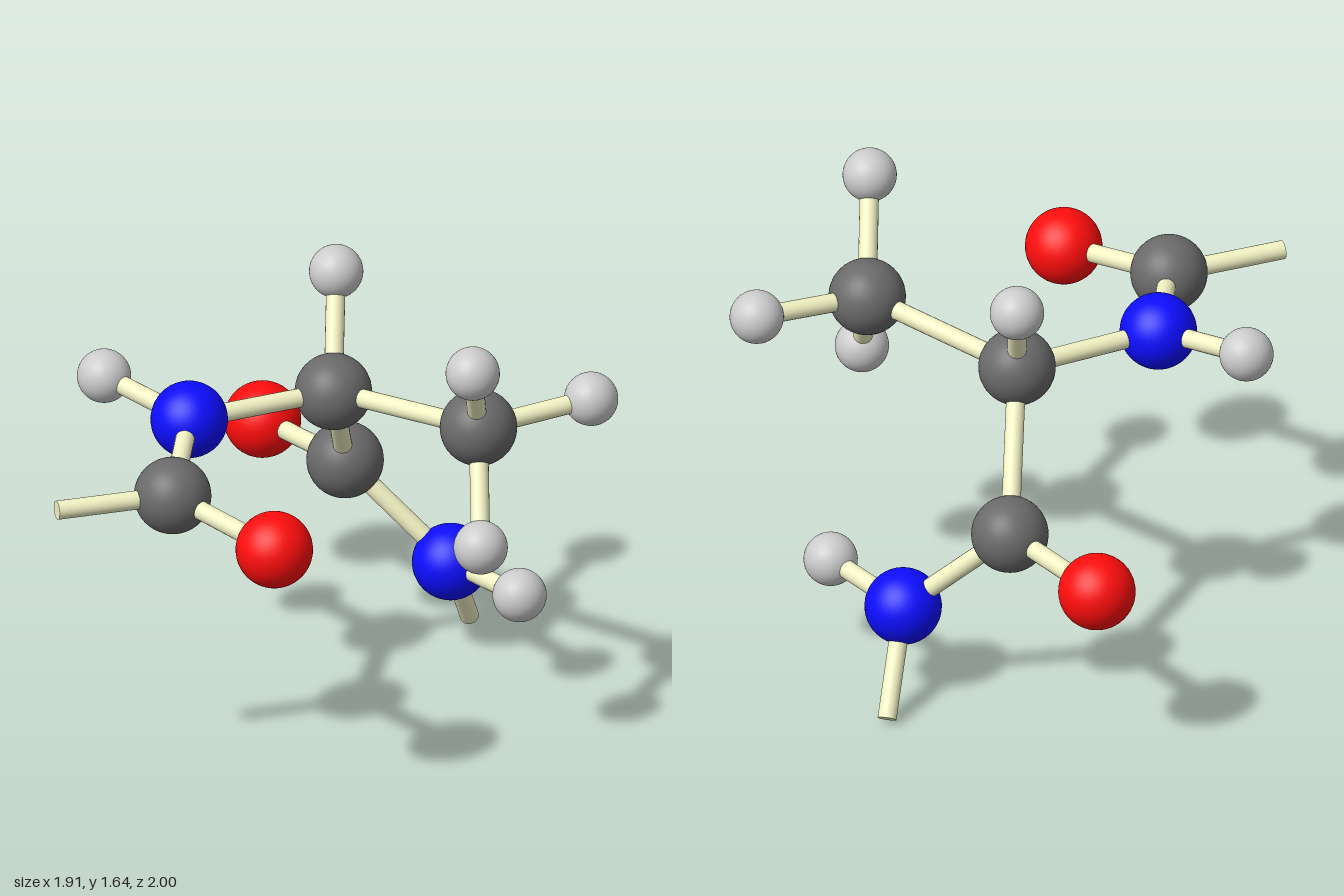
import * as THREE from 'three';

const BOND_RADIUS = 0.034;

// Atom kinds: radius and colour
const KINDS = {
  carbon: { radius: 0.137, color: 0x6a6a6a },
  nitrogen: { radius: 0.137, color: 0x0d0dff },
  oxygen: { radius: 0.137, color: 0xff0d0d },
  hydrogen: { radius: 0.096, color: 0xbfbfbf },
};

// Atom centres
const ATOMS = {
  alphaCarbon: ['carbon', -0.085, 1.145, -0.21],
  alphaHydrogen: ['hydrogen', -0.155, 1.5, -0.443],
  methylCarbon: ['carbon', 0.537, 1.205, 0.02],
  methylHydrogenTop: ['hydrogen', 0.607, 1.545, 0.284],
  methylHydrogenBottom: ['hydrogen', 0.63, 0.86, 0.265],
  methylHydrogenSide: ['hydrogen', 0.855, 1.232, -0.278],
  frontNitrogen: ['nitrogen', -0.49, 1.147, 0.177],
  frontAmideHydrogen: ['hydrogen', -0.86, 1.193, -0.025],
  frontCarbonyl: ['carbon', -0.378, 1.093, 0.68],
  frontOxygen: ['oxygen', 0.065, 1.032, 0.862],
  rearCarbonyl: ['carbon', -0.175, 0.69, -0.597],
  rearOxygen: ['oxygen', -0.576, 0.666, -0.863],
  rearNitrogen: ['nitrogen', 0.214, 0.344, -0.613],
  rearAmideHydrogen: ['hydrogen', 0.547, 0.363, -0.395],
};
ATOMS.frontAmideHydrogen[3] = -0.027 + 0.055;

// Bonded pairs of atoms
const BONDS = [
  ['alphaCarbon', 'alphaHydrogen'],
  ['alphaCarbon', 'methylCarbon'],
  ['alphaCarbon', 'frontNitrogen'],
  ['alphaCarbon', 'rearCarbonyl'],
  ['methylCarbon', 'methylHydrogenTop'],
  ['methylCarbon', 'methylHydrogenBottom'],
  ['methylCarbon', 'methylHydrogenSide'],
  ['frontNitrogen', 'frontAmideHydrogen'],
  ['frontNitrogen', 'frontCarbonyl'],
  ['frontCarbonyl', 'frontOxygen'],
  ['rearCarbonyl', 'rearOxygen'],
  ['rearCarbonyl', 'rearNitrogen'],
  ['rearNitrogen', 'rearAmideHydrogen'],
];

// Open chain ends: a bond that stops without an atom
const STUBS = [
  ['frontCarbonyl', new THREE.Vector3(-0.72, 1.1, 0.943)],
  ['rearNitrogen', new THREE.Vector3(0.2, 0.02, -0.857)],
];

const UP = new THREE.Vector3(0, 1, 0);

function rod(name, from, to, material) {
  const span = to.clone().sub(from);
  const geometry = new THREE.CylinderGeometry(BOND_RADIUS, BOND_RADIUS, span.length(), 20);
  const mesh = new THREE.Mesh(geometry, material);
  mesh.name = name;
  mesh.position.copy(from).add(to).multiplyScalar(0.5);
  mesh.quaternion.setFromUnitVectors(UP, span.normalize());
  return mesh;
}

export function createModel() {
  const model = new THREE.Group();
  model.name = 'moleculeModel';

  // Shared ball geometry and material per kind
  const looks = {};
  for (const [kind, { radius, color }] of Object.entries(KINDS)) {
    looks[kind] = {
      geometry: new THREE.SphereGeometry(radius, 40, 28),
      material: new THREE.MeshStandardMaterial({ color }),
    };
  }

  // Atoms
  const centres = {};
  for (const [name, [kind, x, y, z]] of Object.entries(ATOMS)) {
    const ball = new THREE.Mesh(looks[kind].geometry, looks[kind].material);
    ball.name = name;
    ball.position.set(x, y, z);
    centres[name] = ball.position;
    model.add(ball);
  }

  // Bonds and open ends
  const bondMaterial = new THREE.MeshStandardMaterial({ color: 0xf2f2c4 });
  for (const [a, b] of BONDS) {
    model.add(rod(`${a} to ${b} bond`, centres[a], centres[b], bondMaterial));
  }
  for (const [a, end] of STUBS) {
    model.add(rod(`${a} open bond`, centres[a], end, bondMaterial));
  }
  return model;
}
